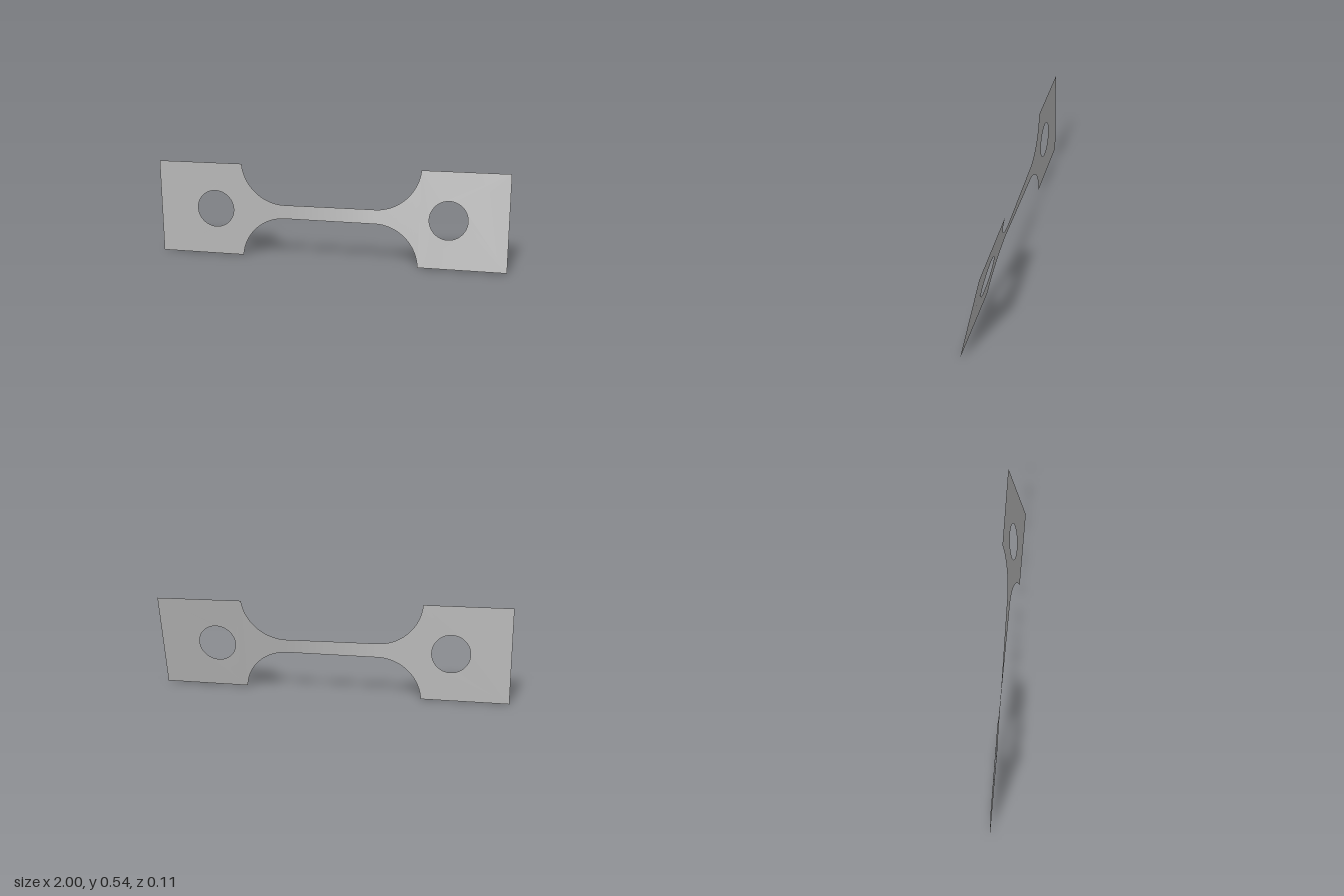
import * as THREE from 'three';

const HALF = 0.271;      // half height of the grips
const NECK = 0.04;       // half height of the gauge strip
const R = 0.25;          // fillet radius
const FILLET_X = 0.26;   // where the fillets start
const SHOULDER = FILLET_X + Math.sqrt(R * R - (NECK + R - HALF) ** 2);

// Twist angle about the x axis: almost all of it happens in the gauge strip
const twistKeys = [[-1, 0.016], [-SHOULDER, 0.008], [-FILLET_X, 0.004], [FILLET_X, -0.183], [SHOULDER, -0.193], [1, -0.208]];
function twistAt(x) {
  for (let i = 1; i < twistKeys.length; i++) {
    const [x0, a0] = twistKeys[i - 1], [x1, a1] = twistKeys[i];
    if (x <= x1) return a0 + (a1 - a0) * (x - x0) / (x1 - x0);
  }
  return twistKeys[twistKeys.length - 1][1];
}

function twist(geometry) {
  const p = geometry.attributes.position;
  for (let i = 0; i < p.count; i++) {
    const x = p.getX(i), y = p.getY(i), a = twistAt(x);
    p.setXYZ(i, x, HALF + y * Math.cos(a), y * Math.sin(a));
  }
  geometry.computeVertexNormals();
  return geometry;
}

// Rectangular grip with a round pin hole
function gripGeometry(side) {
  const a = side < 0 ? -1 : SHOULDER, b = side < 0 ? -SHOULDER : 1;
  const shape = new THREE.Shape();
  shape.moveTo(a, -HALF);
  shape.lineTo(b, -HALF);
  shape.lineTo(b, HALF);
  shape.lineTo(a, HALF);
  shape.closePath();
  const hole = new THREE.Path();
  hole.absarc(side * 0.67, 0, 0.107, 0, Math.PI * 2, true);
  shape.holes.push(hole);
  return twist(new THREE.ShapeGeometry(shape, 32));
}

// Narrow strip whose ends flare out along circular fillets
function gaugeGeometry() {
  const half = [];
  const endAngle = Math.acos((NECK + R - HALF) / R);
  for (let i = 0; i <= 12; i++) half.push([FILLET_X * i / 12, NECK]);
  for (let i = 1; i <= 24; i++) {
    const a = endAngle * i / 24;
    half.push([FILLET_X + R * Math.sin(a), NECK + R * (1 - Math.cos(a))]);
  }
  const stations = [...half.slice(1).reverse().map(([x, h]) => [-x, h]), ...half];
  const rows = 6;
  const geometry = new THREE.PlaneGeometry(1, 1, stations.length - 1, rows);
  const p = geometry.attributes.position;
  for (let r = 0; r <= rows; r++) {
    stations.forEach(([x, h], c) => p.setXYZ(r * stations.length + c, x, h * (1 - 2 * r / rows), 0));
  }
  return twist(geometry);
}

export function createModel() {
  const group = new THREE.Group();
  group.name = 'twistedTensileSpecimen';
  const steel = new THREE.MeshStandardMaterial({ color: 0xb8b8b8, side: THREE.DoubleSide });
  steel.name = 'grey steel';
  const add = (name, geometry) => {
    const mesh = new THREE.Mesh(geometry, steel);
    mesh.name = name;
    group.add(mesh);
  };
  add('rightGrip', gripGeometry(-1));
  add('gaugeStrip', gaugeGeometry());
  add('leftGrip', gripGeometry(1));
  return group;
}
